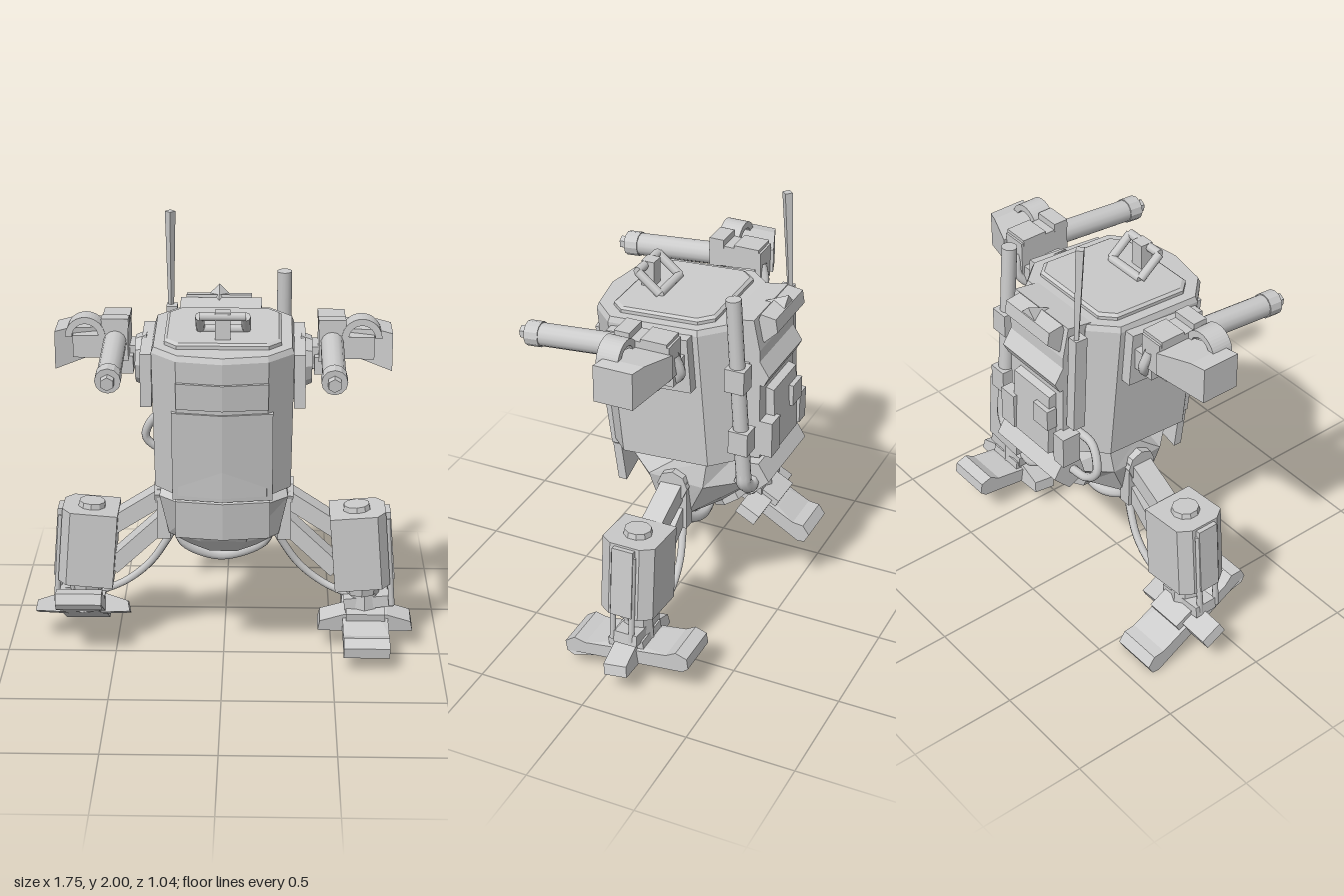
import * as THREE from 'three';

const flat = new THREE.MeshStandardMaterial({ color: 0xcccccc, flatShading: true, side: THREE.DoubleSide });
const smooth = new THREE.MeshStandardMaterial({ color: 0xcccccc, side: THREE.DoubleSide });
const V = (a) => new THREE.Vector3(...a);

export function createModel() {
  const model = new THREE.Group();
  model.name = 'walker';

  // ---- helpers ----
  function add(name, geo, pos = [0, 0, 0], parent = model, mat = flat) {
    const m = new THREE.Mesh(geo, mat);
    m.name = name;
    m.position.set(...pos);
    parent.add(m);
    return m;
  }
  const box = (name, size, pos, parent) => add(name, new THREE.BoxGeometry(...size), pos, parent);
  // box running from a to b
  function beam(name, a, b, w, h) {
    const m = box(name, [w, h, V(a).distanceTo(V(b))], V(a).lerp(V(b), 0.5).toArray());
    m.lookAt(V(b));
    return m;
  }
  // cylinder running from a to b
  function rod(name, a, b, ra, rb = ra, sides = 14, mat = smooth) {
    const g = new THREE.CylinderGeometry(rb, ra, V(a).distanceTo(V(b)), sides);
    const m = add(name, g, V(a).lerp(V(b), 0.5).toArray(), model, mat);
    m.quaternion.setFromUnitVectors(new THREE.Vector3(0, 1, 0), V(b).sub(V(a)).normalize());
    return m;
  }
  const hose = (name, pts, r) =>
    add(name, new THREE.TubeGeometry(new THREE.CatmullRomCurve3(pts.map(V)), 24, r, 8), [0, 0, 0], model, smooth);
  const outline = (pts) => new THREE.Shape(pts.map((p) => new THREE.Vector2(...p)));
  const slab = (shape, depth) =>
    new THREE.ExtrudeGeometry(shape, { depth, bevelEnabled: false, curveSegments: 10 }).translate(0, 0, -depth / 2);
  // (z, y) profile extruded along x
  const prism = (pts, width) => slab(outline(pts), width).rotateY(-Math.PI / 2);
  // move every vertex by a rule
  function reshape(geo, rule) {
    const p = geo.attributes.position;
    for (let i = 0; i < p.count; i++) p.setXYZ(i, ...rule(p.getX(i), p.getY(i), p.getZ(i)));
    geo.computeVertexNormals();
    return geo;
  }
  // stacked rings, bottom to top, counter-clockwise from above
  function loft(rings) {
    const pos = [], n = rings[0].length;
    const tri = (...c) => c.forEach((p) => pos.push(...p));
    for (let k = 0; k + 1 < rings.length; k++) {
      const a = rings[k], b = rings[k + 1];
      for (let i = 0; i < n; i++) {
        const j = (i + 1) % n;
        tri(a[i], a[j], b[j]);
        tri(a[i], b[j], b[i]);
      }
    }
    const lo = rings[0], hi = rings[rings.length - 1];
    for (let i = 1; i + 1 < n; i++) {
      tri(lo[0], lo[i + 1], lo[i]);
      tri(hi[0], hi[i], hi[i + 1]);
    }
    const g = new THREE.BufferGeometry();
    g.setAttribute('position', new THREE.Float32BufferAttribute(pos, 3));
    g.computeVertexNormals();
    return g;
  }

  // ---- hull: nine-sided plan with a sloping roof and floor ----
  const plan = [[0, 0.345], [0.2, 0.31], [0.31, 0.2], [0.31, -0.22], [0.21, -0.33],
    [-0.21, -0.33], [-0.31, -0.22], [-0.31, 0.2], [-0.2, 0.31]];
  const ring = (y, slope, s, dz) => plan.map(([x, z]) => [x * s, y - slope * z, z * s + dz]);
  add('hull', loft([ring(0.89, 0.06, 0.97, -0.06), ring(1.525, 0.06, 1, -0.005), ring(1.55, 0.06, 0.97, -0.005)]));

  // roof hatch and its handle
  const hatchPlan = [[0.2, 0.22], [0.255, 0.16], [0.255, -0.2], [0.2, -0.26],
    [-0.2, -0.26], [-0.255, -0.2], [-0.255, 0.16], [-0.2, 0.22]];
  const hatchRing = (y, s) => hatchPlan.map(([x, z]) => [x * s, y - 0.06 * z, z * s]);
  add('hatch', loft([hatchRing(1.53, 1), hatchRing(1.565, 1), hatchRing(1.575, 0.95)]));
  const handle = [[-0.1, 1.58, 0.05], [0.1, 1.58, 0.05], [0.1, 1.665, 0.155], [-0.1, 1.665, 0.155]];
  handle.forEach((p, i) => rod('hatchHandle', p, handle[(i + 1) % 4], 0.02, 0.02, 8));
  box('handlePost', [0.065, 0.13, 0.06], [0, 1.62, 0.14]);

  // bent front armour plates following the hull's nose
  const face = (y) => 0.27 + 0.14 * (y - 0.87);
  function plate(name, w, y0, y1, t = 0.03) {
    const row = (y) => {
      const z = face(y), s = z - w * 0.16;
      return [[0, y, z], [w, y, s], [w, y, s - t], [0, y, z - t], [-w, y, s - t], [-w, y, s]];
    };
    add(name, loft([row(y0), row(y1)]));
  }
  plate('upperFrontPlate', 0.2, 1.29, 1.41);
  plate('middleFrontPlate', 0.22, 0.85, 1.27);
  plate('lowerFrontPlate', 0.21, 0.66, 0.84, 0.04);

  // ---- pelvis ----
  const oval = (w, z0, y0, z1, y1) => Array.from({ length: 8 }, (_, i) => {
    const a = (i + 0.5) * Math.PI / 4, k = 1.082;
    const f = (1 - Math.cos(a) * k) / 2;
    return [Math.sin(a) * w * k, y0 + (y1 - y0) * f, z0 + (z1 - z0) * f];
  });
  add('pelvis', loft([oval(0.15, 0, 0.51, -0.18, 0.55), oval(0.25, 0.06, 0.58, -0.25, 0.6),
    oval(0.29, 0.2, 0.79, -0.43, 0.77), oval(0.27, 0, 0.865, -0.36, 0.91)]));
  rod('pelvisDisc', [0, 0.67, -0.21], [0, 0.573, -0.265], 0.1, 0.09, 8, flat);
  hose('underHose', [[-0.21, 0.58, -0.1], [-0.18, 0.51, -0.1], [-0.04, 0.445, -0.12], [0.06, 0.455, -0.12],
    [0.18, 0.52, -0.1], [0.21, 0.58, -0.1]], 0.026);

  // ---- legs ----
  const toeHalf = [[0.1, 0.03], [0.2, 0.025], [0.25, 0.045], [0.3, 0.02], [0.3, -0.03], [0.27, -0.05], [0.1, -0.045]];
  const flip = (pts) => pts.map(([a, b]) => [-a, b]).reverse();
  const soleProfile = [...toeHalf, ...flip(toeHalf)];
  const wingHalf = [[0.1, 0.045], [0.21, 0.01], [0.22, -0.04], [0.1, -0.045]];
  const wingProfile = [...wingHalf, ...flip(wingHalf)];

  function leg(s, footPos, pitch) {
    const z = s > 0 ? -0.085 : -0.1;
    rod('hipJoint', [s * 0.24, 0.765, -0.11], [s * 0.315, 0.765, -0.11], 0.072, 0.072, 8, flat);
    box('hipBlock', [0.06, 0.24, 0.13], [s * 0.275, 0.67, -0.11]);
    beam('upperArm', [s * 0.24, 0.775, -0.11], [s * 0.52, 0.6, z], 0.1, 0.08);
    beam('lowerArm', [s * 0.27, 0.63, -0.11], [s * 0.52, 0.4, z], 0.1, 0.075);

    // boxy shin with chamfered outer corners
    const shin = new THREE.Group();
    shin.name = 'shin';
    shin.position.set(s * 0.62, 0.515, z);
    shin.rotation.z = s * 0.08;
    model.add(shin);
    const c = [[-0.125, 0.125], [0.09, 0.125], [0.13, 0.07], [0.13, -0.07], [0.09, -0.125], [-0.125, -0.125]];
    const shinPlan = s > 0 ? c : flip(c);
    add('shinHousing', loft([-0.18, 0.175].map((y) => shinPlan.map(([x, w]) => [x, y, w]))), [0, 0, 0], shin);
    add('shinCap', new THREE.CylinderGeometry(0.06, 0.065, 0.03, 10), [0, 0.185, 0], shin);
    box('outerGuard', [0.025, 0.33, 0.1], [s * 0.14, 0, 0], shin);
    for (const dz of [0.045, -0.045])
      rod('piston', [s * 0.745, 0.66, z + dz], [s * 0.775, 0.23, z + dz], 0.014, 0.014, 8);

    // ankle
    add('ankle', new THREE.CylinderGeometry(0.09, 0.075, 0.09, 8), [s * 0.635, 0.325, z]);
    add('ankleCore', new THREE.CylinderGeometry(0.065, 0.075, 0.16, 8), [s * 0.65, 0.25, z - 0.02]);
    const collar = box('ankleCollar', [0.23, 0.055, 0.11], [s * 0.67, 0.235, z - 0.02]);
    collar.rotation.z = s * 0.1;

    // four-toed foot, waisted beside the instep
    const foot = new THREE.Group();
    foot.name = 'foot';
    foot.position.set(...footPos);
    foot.rotation.x = pitch;
    model.add(foot);
    const waist = (x, y, w) => [x * (Math.abs(w) < 0.15 ? 0.75 : 1), y, w];
    add('longToes', reshape(prism(soleProfile, 0.21), waist), [0, 0, 0], foot);
    add('sideToes', slab(outline(wingProfile), 0.11), [0, 0, 0], foot);
    box('instep', [0.18, 0.05, 0.17], [0, 0.04, 0], foot);

    hose('legHose', [[s * 0.22, 0.6, -0.12], [s * 0.27, 0.5, -0.14], [s * 0.35, 0.38, -0.16],
      [s * 0.46, 0.29, -0.16], [s * 0.6, 0.24, z - 0.03]], 0.018);
  }
  leg(1, [0.655, 0.145, -0.095], 0.15);
  leg(-1, [-0.66, 0.173, -0.155], -0.49);

  // ---- arms with guns ----
  for (const s of [1, -1]) {
    const m = (pts) => (s > 0 ? pts : flip(pts));
    add('shoulderPlate', prism([[0.18, 1.26], [0.18, 1.5], [-0.2, 1.54], [-0.22, 1.29]], 0.05), [s * 0.335, 0, 0]);
    rod('shoulderDisc', [s * 0.34, 1.41, -0.06], [s * 0.39, 1.41, -0.06], 0.125, 0.105, 10, flat);
    box('shoulderArm', [0.12, 0.1, 0.14], [s * 0.41, 1.42, -0.12]);
    box('gunBracket', [0.1, 0.08, 0.13], [s * 0.45, 1.395, -0.07]);
    box('gunBody', [0.115, 0.16, 0.25], [s * 0.475, 1.51, -0.075]);
    box('gunLid', [0.12, 0.04, 0.07], [s * 0.475, 1.6, 0.015]);
    box('gunRearLid', [0.12, 0.03, 0.12], [s * 0.475, 1.59, -0.13]);
    const at = (z) => [s * 0.475, 1.52 - 0.09 * z, z];
    rod('barrel', at(0.03), at(0.43), 0.051);
    rod('muzzleCollar', at(0.42), at(0.485), 0.056, 0.056, 12, flat);
    rod('muzzle', at(0.48), at(0.52), 0.032, 0.03, 6, flat);

    // ammunition box, swept forward as it goes out, and its curved feed
    const ammo = [[0.53, 1.45], [0.74, 1.39], [0.74, 1.56], [0.68, 1.57], [0.53, 1.56]];
    const sweep = (x, y, z) => [x, y, z + 0.38 * (Math.abs(x) - 0.53)];
    add('ammoBox', reshape(slab(outline(m(ammo)), 0.18), sweep), [0, 0, -0.125]);
    box('ammoChute', [0.14, 0.1, 0.1], [s * 0.59, 1.495, 0]);
    const arch = new THREE.Shape().absarc(0, 0, 0.088, 0, Math.PI, false);
    arch.absarc(0, 0, 0.058, Math.PI, 0, true);
    add('feedArch', slab(arch, 0.1), [s * 0.605, 1.54, 0.005]);
    hose('gunHose', [[s * 0.46, 1.52, -0.19], [s * 0.44, 1.43, -0.21], [s * 0.41, 1.37, -0.16],
      [s * 0.37, 1.36, -0.1]], 0.022);
  }

  // ---- back pack ----
  add('packBody', prism([[-0.3, 1.57], [-0.42, 1.59], [-0.45, 1.45], [-0.46, 0.92], [-0.33, 0.9]], 0.37), [-0.02, 0, 0]);
  add('packTopVent', prism([[-0.41, 1.52], [-0.43, 1.6], [-0.5, 1.59], [-0.51, 1.53], [-0.45, 1.47]], 0.3), [-0.03, 0, 0]);
  const spike = add('packWedge', new THREE.ConeGeometry(0.06, 0.13, 4), [-0.03, 1.575, -0.43]);
  spike.rotation.x = Math.PI / 2;
  add('packLouver', prism([[-0.43, 1.43], [-0.495, 1.33], [-0.47, 1.28], [-0.43, 1.29]], 0.37), [-0.02, 0, 0]);
  add('packPlate', prism([[-0.45, 1.24], [-0.49, 1.23], [-0.505, 0.93], [-0.45, 0.92]], 0.25), [-0.03, 0, 0]);
  box('packPouch', [0.09, 0.17, 0.07], [0.12, 1.02, -0.48]);
  box('packSidePouch', [0.07, 0.15, 0.09], [-0.225, 0.99, -0.455]);
  box('packLatch', [0.1, 0.1, 0.05], [-0.12, 1.12, -0.49]);
  add('packRoll', prism([[-0.355, 0.79], [-0.385, 0.9], [-0.47, 0.91], [-0.52, 0.83], [-0.44, 0.745]], 0.42), [-0.01, 0, 0]);

  // exhaust stack with clamps
  const stack = (y) => [0.268, y, -0.37 - 0.07 * (1.73 - y)];
  rod('exhaustStack', stack(0.86), stack(1.73), 0.034);
  hose('exhaustElbow', [stack(0.9), stack(0.85), [0.23, 0.81, -0.44], [0.17, 0.82, -0.44]], 0.034);
  for (const y of [1.06, 1.36]) {
    box('stackClamp', [0.085, 0.11, 0.09], stack(y));
    box('clampBracket', [0.13, 0.05, 0.05], [0.2, y, -0.38]);
  }

  // aerial, flared at the tip, on a flat rail
  rod('aerial', [-0.25, 1.5, -0.415], [-0.25, 2, -0.387], 0.012, 0.024, 4, flat);
  beam('aerialRail', [-0.245, 1.1, -0.42], [-0.245, 1.56, -0.4], 0.05, 0.06);
  hose('packHose', [[-0.2, 1.05, -0.4], [-0.32, 1.03, -0.39], [-0.375, 0.92, -0.41],
    [-0.32, 0.86, -0.42], [-0.21, 0.84, -0.42]], 0.02);

  return model;
}
